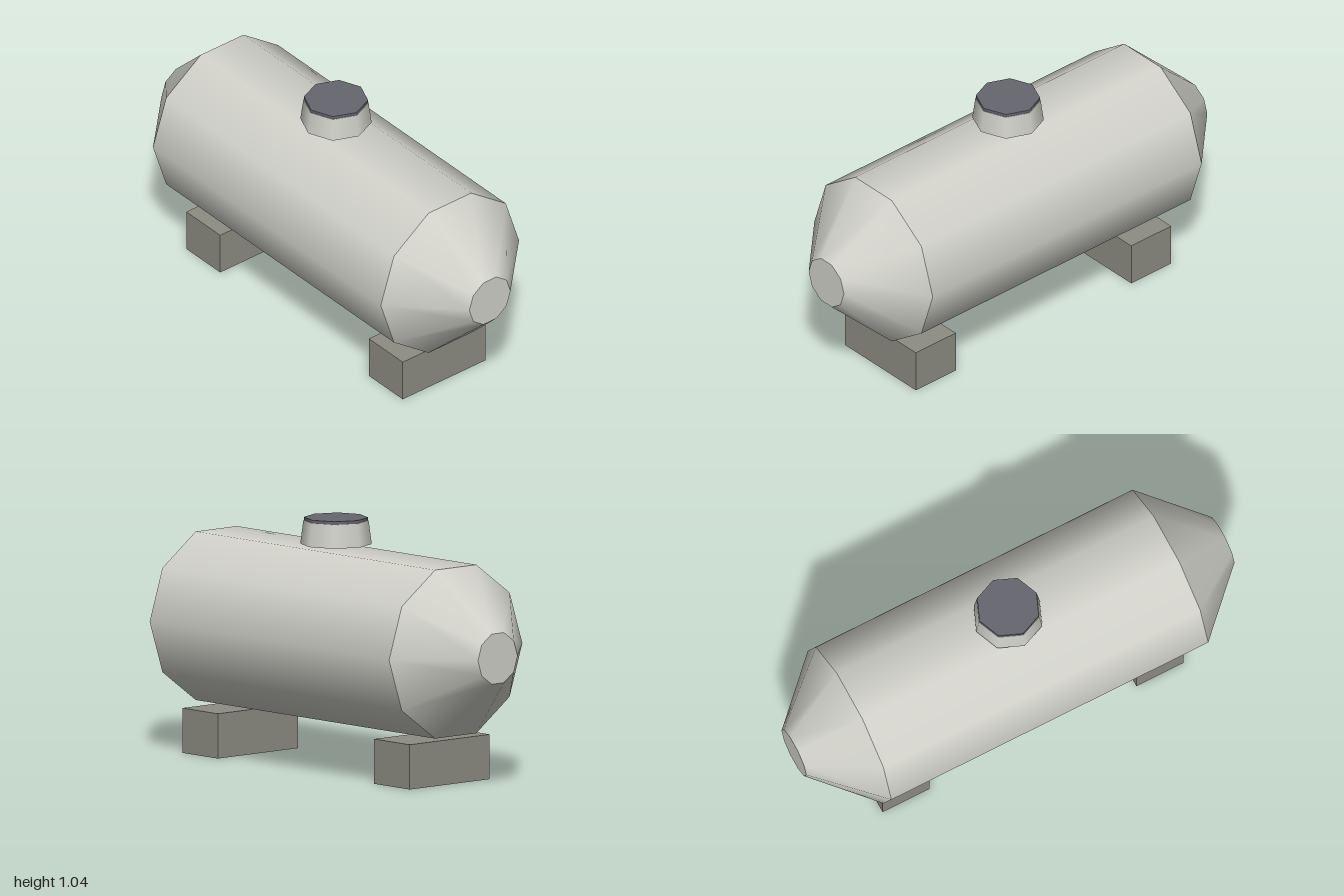
import * as THREE from 'three';

export function createModel() {
  const model = new THREE.Group();
  const tankPaint = new THREE.MeshStandardMaterial({ color: 0xd2d2cb });
  const concrete = new THREE.MeshStandardMaterial({ color: 0x8e8d83 });
  const darkLid = new THREE.MeshStandardMaterial({ color: 0x66676f });

  const add = (name, geometry, material, x, y) => {
    const mesh = new THREE.Mesh(geometry, material);
    mesh.name = name;
    mesh.position.set(x, y, 0);
    model.add(mesh);
    return mesh;
  };

  const tankY = 0.558, radius = 0.37, halfLength = 0.74, endRadius = 0.11;

  // Ten-sided tank lying along x
  const body = new THREE.CylinderGeometry(radius, radius, halfLength * 2, 10, 1, true);
  add('tankBody', body, tankPaint, 0, tankY).rotation.z = Math.PI / 2;

  for (const side of [-1, 1]) {
    const label = side > 0 ? 'left' : 'right';

    // Tapered end with a flat tip
    const end = new THREE.CylinderGeometry(endRadius, radius, 1 - halfLength, 10);
    add(label + 'TankEnd', end, tankPaint, side * (1 + halfLength) / 2, tankY)
      .rotation.z = -side * Math.PI / 2;

    // Support block
    add(label + 'Support', new THREE.BoxGeometry(0.22, 0.187, 0.444), concrete, side * 0.593, 0.0935);
  }

  // Eight-sided hatch collar and its lid
  add('hatchCollar', new THREE.CylinderGeometry(0.135, 0.148, 0.098, 8), tankPaint, 0, 0.977);
  add('hatchLid', new THREE.CylinderGeometry(0.133, 0.133, 0.013, 8), darkLid, 0, 1.0325);

  return model;
}
